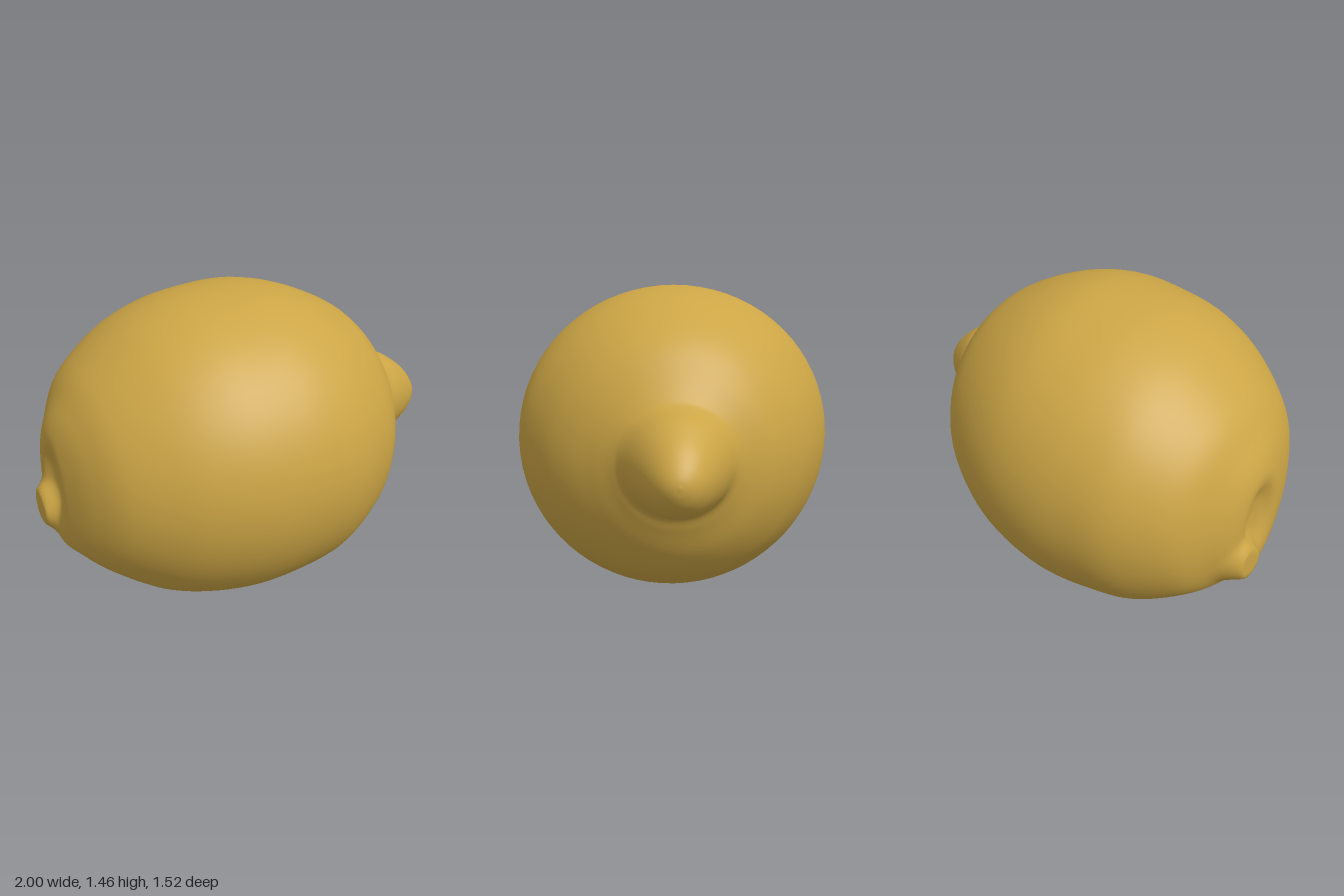
import * as THREE from 'three';
import { mergeVertices } from 'three/addons/utils/BufferGeometryUtils.js';

// Cross-sections along the fruit: x, top y, bottom y, back z, front z
const SECTIONS = [
  [-0.925, 0.66, 0.66, -0.08, -0.08],
  [-0.935, 0.76, 0.56, -0.14, -0.01],
  [-0.962, 0.85, 0.45, -0.20, 0.06],
  [-0.95, 0.93, 0.36, -0.27, 0.14],
  [-0.90, 1.03, 0.31, -0.37, 0.29],
  [-0.80, 1.17, 0.22, -0.54, 0.455],
  [-0.60, 1.33, 0.09, -0.68, 0.62],
  [-0.40, 1.42, 0.03, -0.735, 0.71],
  [-0.20, 1.455, 0.003, -0.76, 0.75],
  [0.00, 1.463, 0.015, -0.745, 0.755],
  [0.20, 1.42, 0.05, -0.685, 0.72],
  [0.40, 1.33, 0.14, -0.58, 0.615],
  [0.52, 1.24, 0.23, -0.48, 0.51],
  [0.61, 1.13, 0.34, -0.375, 0.395],
  [0.67, 1.045, 0.46, -0.265, 0.31],
  [0.71, 1.005, 0.535, -0.215, 0.27],
  [0.80, 0.97, 0.56, -0.165, 0.22],
  [0.90, 0.90, 0.60, -0.105, 0.165],
  [0.96, 0.835, 0.65, -0.055, 0.12],
  [0.99, 0.785, 0.70, -0.005, 0.08],
  [1.00, 0.745, 0.745, 0.04, 0.04],
];

function fruitGeometry(rings, sides) {
  const spline = (a, b) => new THREE.CatmullRomCurve3(
    SECTIONS.map((s) => new THREE.Vector3(s[0], s[a], s[b])), false, 'catmullrom', 0.5);
  const heights = spline(1, 2);
  const depths = spline(3, 4);
  const pos = [];
  const index = [];
  for (let i = 0; i <= rings; i++) {
    const h = heights.getPoint(i / rings);
    const d = depths.getPoint(i / rings);
    for (let j = 0; j < sides; j++) {
      const a = (j / sides) * Math.PI * 2;
      const y = (h.y + h.z) / 2 + Math.cos(a) * (h.y - h.z) / 2;
      const z = (d.y + d.z) / 2 + Math.sin(a) * (d.z - d.y) / 2;
      let x = h.x;
      // Small stem nub on the hollow end
      if (x < -0.8) {
        const r2 = ((y - 0.49) / 0.1) ** 2 + ((z + 0.18) / 0.1) ** 2;
        x = Math.max(-1, x - 0.065 * Math.exp(-r2 * r2));
      }
      pos.push(x, y, z);
      if (i < rings) {
        const k = (j + 1) % sides;
        const p = i * sides;
        const q = p + sides;
        index.push(p + j, p + k, q + j, p + k, q + k, q + j);
      }
    }
  }
  const geo = new THREE.BufferGeometry();
  geo.setAttribute('position', new THREE.Float32BufferAttribute(pos, 3));
  geo.setIndex(index);
  const merged = mergeVertices(geo, 1e-5); // close both poles
  merged.computeVertexNormals();
  return merged;
}

export function createModel() {
  const peel = new THREE.MeshStandardMaterial({ color: 0xcca545 });
  peel.name = 'lemon peel';

  const group = new THREE.Group();
  group.name = 'lemon';

  // Body, pointed tip and stem end form one continuous skin
  const fruit = new THREE.Mesh(fruitGeometry(120, 72), peel);
  fruit.name = 'fruit';
  group.add(fruit);
  return group;
}
